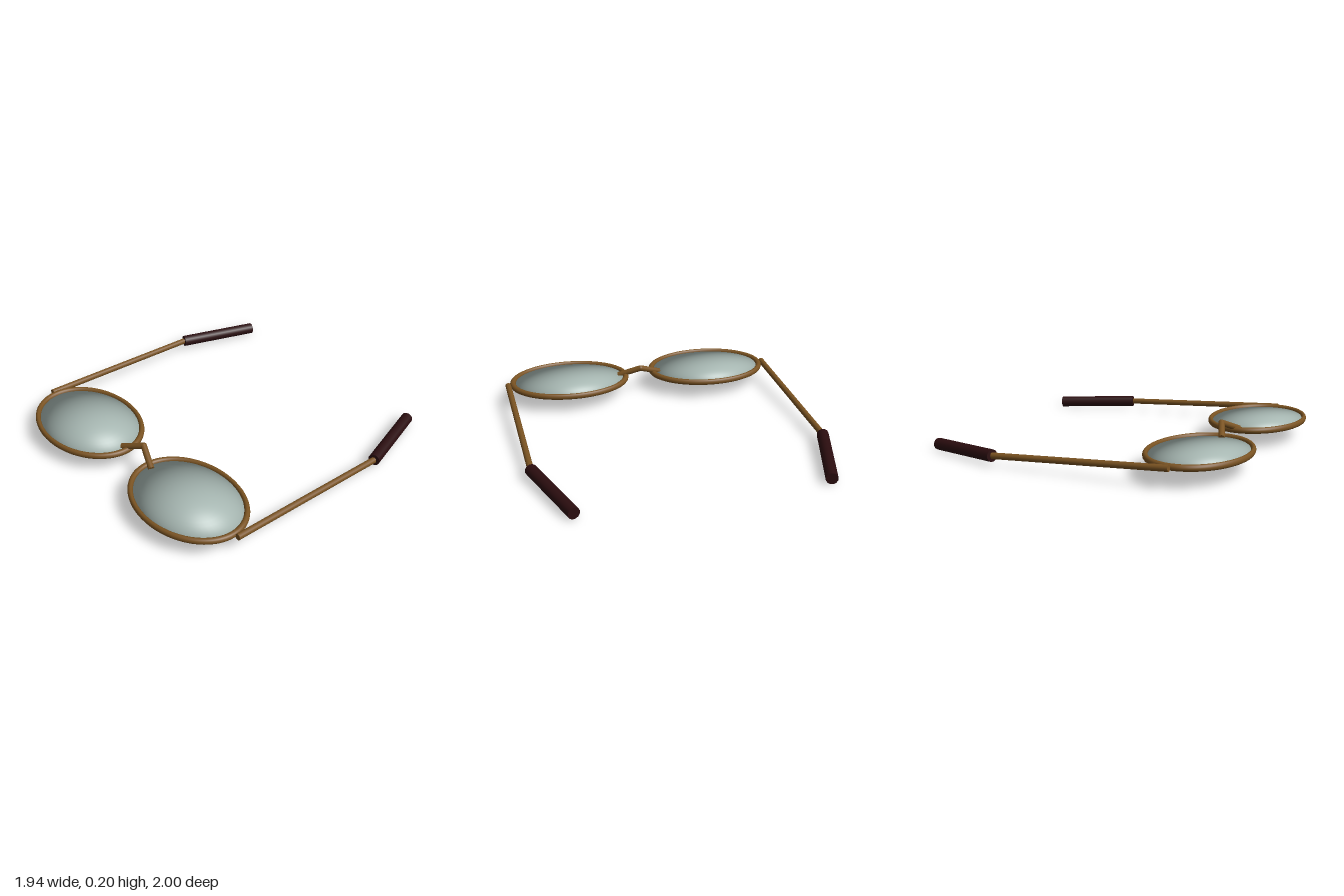
import * as THREE from 'three';

const mat = (name, color) => Object.assign(new THREE.MeshStandardMaterial({ color }), { name });

export function createModel() {
  const wire = mat('bronze wire', 0x7a5322);
  const rubber = mat('dark tips', 0x2b0d0f);
  const glass = mat('tinted glass', 0xa6b6b1);
  const group = new THREE.Group();
  group.name = 'glasses';

  const add = (name, geometry, material) => {
    const mesh = new THREE.Mesh(geometry, material);
    mesh.name = name;
    group.add(mesh);
    return mesh;
  };

  // Round bar running from point a to point b
  const bar = (name, a, b, radius, material, sides = 16) => {
    const from = new THREE.Vector3(...a), to = new THREE.Vector3(...b);
    const dir = to.clone().sub(from);
    const mesh = add(name, new THREE.CylinderGeometry(radius, radius, dir.length(), sides), material);
    mesh.position.copy(from).add(to).multiplyScalar(0.5);
    mesh.quaternion.setFromUnitVectors(new THREE.Vector3(0, 1, 0), dir.normalize());
  };

  const rimY = 0.125, rimZ = 0.687, squash = 0.74;
  const apex = [0, 0.186, 0.624];

  for (const side of [1, -1]) {
    const label = side > 0 ? 'left' : 'right';

    // Oval rim lying flat
    const rimGeo = new THREE.TorusGeometry(0.4, 0.02, 14, 64).rotateX(Math.PI / 2).scale(1, 1, squash);
    add(label + 'Rim', rimGeo, wire).position.set(side * 0.5, rimY, rimZ);

    // Thin lens: a ball pressed flat whose round normals are kept for a domed sheen
    const lensGeo = new THREE.SphereGeometry(0.395, 48, 24);
    const p = lensGeo.attributes.position;
    for (let i = 0; i < p.count; i++) p.setXYZ(i, p.getX(i), p.getY(i) * 0.02, p.getZ(i) * squash);
    add(label + 'Lens', lensGeo, glass).position.set(side * 0.5, rimY, rimZ);

    // Half of the peaked nose bridge
    bar(label + 'Bridge', [side * 0.148, 0.126, 0.684], apex, 0.02, wire);

    // Temple arm and its inward-turned tip
    const bend = [side * 0.934, 0.062, -0.463];
    bar(label + 'Temple', [side * 0.934, 0.126, 0.687], bend, 0.02, wire);
    bar(label + 'Tip', bend, [side * 0.767, 0.041, -0.988], 0.038, rubber, 12);
  }

  // Rounded joint at the bridge peak
  add('bridgeJoint', new THREE.SphereGeometry(0.02, 16, 12), wire).position.set(...apex);

  return group;
}
